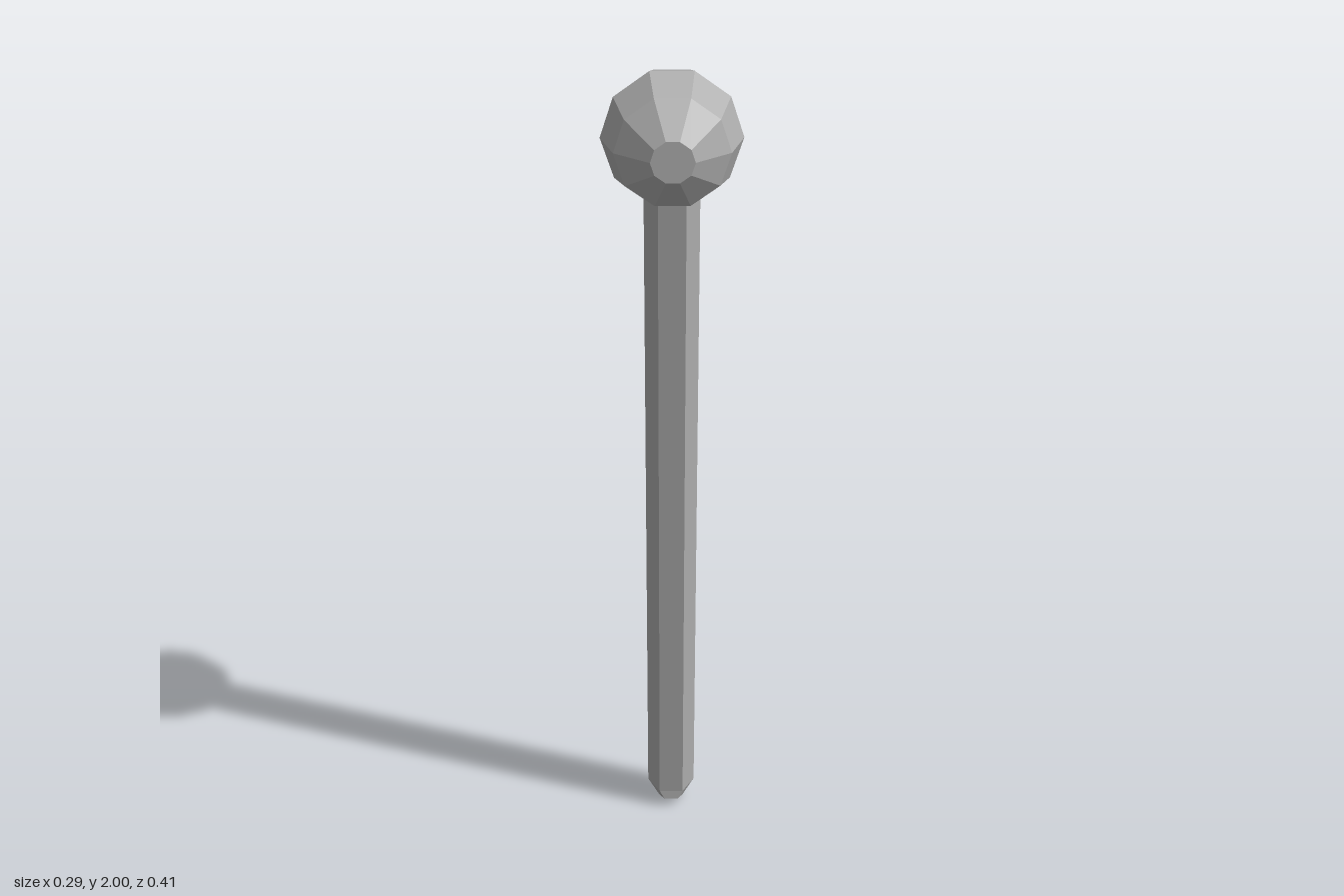
import * as THREE from 'three';

// Flat-faced solid from matching rings of points, listed bottom to top
function loftRings(rings) {
  const pos = [];
  const n = rings[0].length;
  const quad = (a, b, c, d) => [a, b, c, a, c, d].forEach((p) => pos.push(...p));
  for (let r = 0; r < rings.length - 1; r++) {
    for (let i = 0; i < n; i++) {
      const j = (i + 1) % n;
      quad(rings[r][i], rings[r + 1][i], rings[r + 1][j], rings[r][j]);
    }
  }
  // Bottom folds along its middle ridge; top is flat
  const b = rings[0];
  const t = rings[rings.length - 1];
  quad(b[0], b[1], b[2], b[3]);
  quad(b[3], b[4], b[5], b[0]);
  quad(t[3], t[2], t[1], t[0]);
  quad(t[0], t[5], t[4], t[3]);
  const geo = new THREE.BufferGeometry();
  geo.setAttribute('position', new THREE.Float32BufferAttribute(pos, 3));
  geo.computeVertexNormals();
  return geo;
}

// Six-sided ring, with the two side corners at their own height
function hexRing(y, z, xRadius, zRadius, sideX = xRadius, sideY = y) {
  return Array.from({ length: 6 }, (_, i) => {
    const a = (i * Math.PI) / 3;
    const side = i % 3 === 0;
    return [Math.cos(a) * (side ? sideX : xRadius), side ? sideY : y, z + Math.sin(a) * zRadius];
  });
}

export function createModel() {
  const model = new THREE.Group();
  const grey = new THREE.MeshStandardMaterial({ color: 0xb0b0b0 });
  grey.name = 'grey';
  grey.flatShading = true;

  // Leaning hexagonal rod with a chamfered lower tip
  const rod = new THREE.Mesh(
    loftRings([
      hexRing(0.027, -0.153, 0.034, 0.058, 0.03, 0),
      hexRing(0.052, -0.153, 0.058, 0.058),
      hexRing(1.8, 0.063, 0.058, 0.058),
    ]),
    grey
  );
  rod.name = 'rod';

  // Ten-sided ball, its axis running front to back with flat ends
  const R = 0.145;
  const profile = [new THREE.Vector2(0, -R * Math.sin(Math.PI * 0.4))];
  for (let i = -2; i <= 2; i++) {
    const a = (i * Math.PI) / 5;
    profile.push(new THREE.Vector2(R * Math.cos(a), R * Math.sin(a)));
  }
  profile.push(new THREE.Vector2(0, R * Math.sin(Math.PI * 0.4)));
  const ballGeo = new THREE.LatheGeometry(profile, 10, Math.PI / 2);
  ballGeo.rotateX(Math.PI / 2);
  const ball = new THREE.Mesh(ballGeo, grey);
  ball.name = 'ballKnob';
  ball.position.set(0, 1.862, 0.064);

  model.add(rod, ball);
  return model;
}
